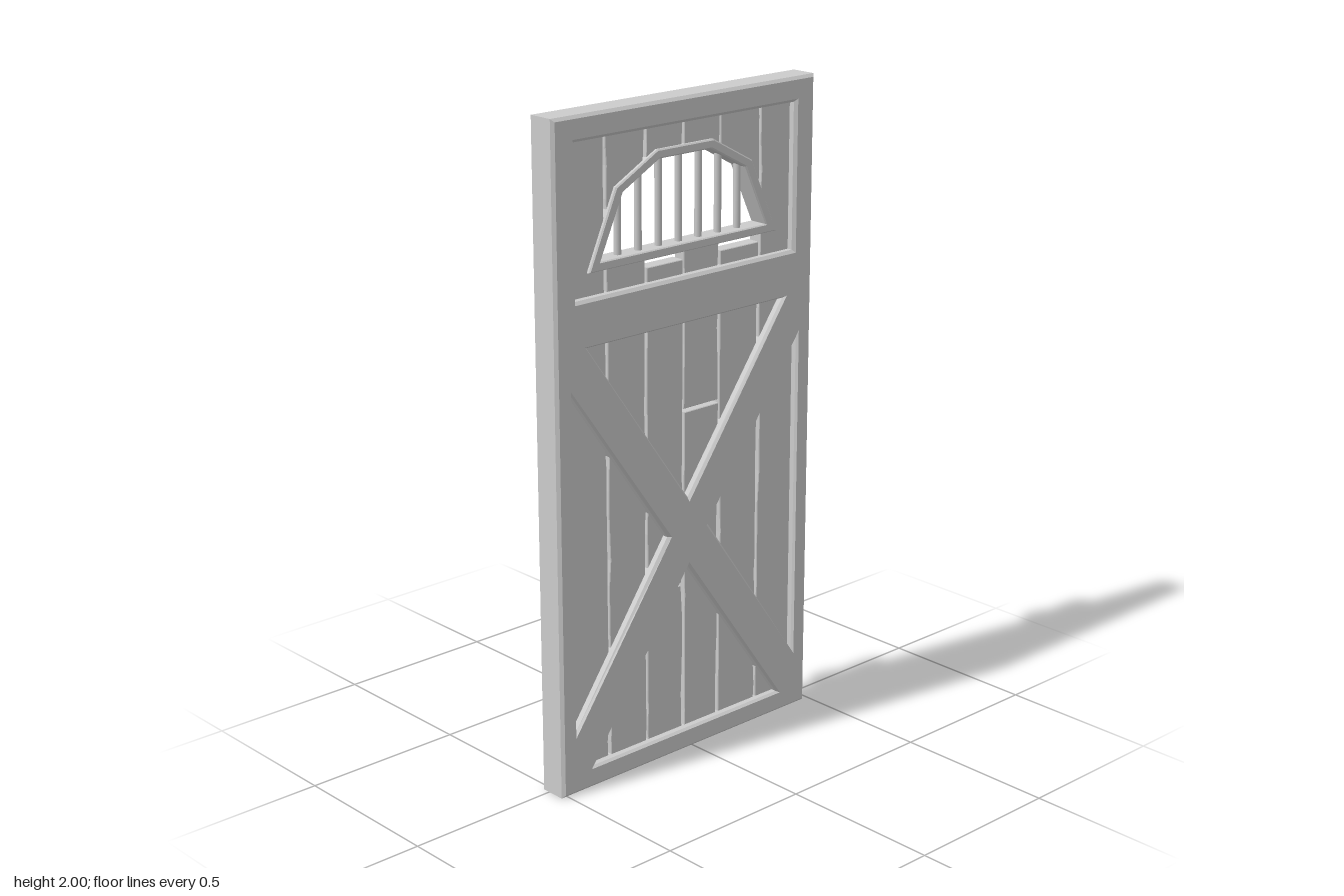
import * as THREE from 'three';

const mat = new THREE.MeshStandardMaterial({ color: 0xcccccc, flatShading: true });
const smooth = new THREE.MeshStandardMaterial({ color: 0xcccccc });

let seed = 7;
const rand = () => (seed = (seed * 16807) % 2147483647) / 2147483647;
const lerp = (a, b, t) => a + (b - a) * t;
const vecs = (pts) => pts.map(([x, y]) => new THREE.Vector2(x, y));

// Extrudes a panel outline, centred on the middle of the door's thickness
function slab(name, outline, holes, thickness, bevel) {
  const shape = new THREE.Shape(vecs(outline));
  holes.forEach((h) => shape.holes.push(new THREE.Path(vecs(h))));
  const geo = new THREE.ExtrudeGeometry(shape, {
    depth: thickness - 2 * bevel, bevelEnabled: bevel > 0,
    bevelThickness: bevel, bevelSize: bevel, bevelSegments: 1,
  });
  geo.translate(0, 0, bevel - thickness / 2);
  const mesh = new THREE.Mesh(geo, mat);
  mesh.name = name;
  return mesh;
}

const mirrorX = (pts) => pts.map(([x, y]) => [-x, y]).reverse();
const arched = (right) => [...right, ...mirrorX(right)];

// Centre line of the window surround
const archY = (u) => {
  const a = Math.abs(u);
  if (a < 0.104) return 1.848;
  if (a < 0.25) return lerp(1.848, 1.768, (a - 0.104) / 0.146);
  return lerp(1.768, 1.56, (a - 0.25) / 0.09);
};
const windowHalf = (y) => (y < 1.56 || y > 1.72 ? 0 : lerp(0.34, 0.25, (y - 1.56) / 0.208));

// One worn board with ragged long edges; bottom and top are heights along its width
function board(a, b, bottom, top) {
  const edge = (u, dir) => {
    const y0 = bottom(u), y1 = top(u), ys = [y0, y1];
    for (let y = y0 + 0.08; y < y1 - 0.04; y += 0.05 + rand() * 0.1) ys.push(y);
    for (const y of [1.559, 1.561, 1.66]) if (y > y0 && y < y1 && Math.abs(u) > 0.28) ys.push(y);
    ys.sort((p, q) => p - q);
    return ys.map((y) => {
      let x = u + dir * (0.004 + 0.008 * rand() * rand());
      // Outer boards are notched around the window corners
      if (y0 < 1 && y1 > 1.9 && Math.abs(u) < 0.35) x = Math.sign(u) * Math.max(Math.abs(x), windowHalf(y));
      return [x, y];
    });
  };
  const kinks = [-0.25, -0.104, 0.104, 0.25].filter((k) => k > a + 0.02 && k < b - 0.02);
  return slab('plank', [
    ...edge(a, 1).reverse(),
    ...kinks.map((k) => [k, bottom(k)]),
    ...edge(b, -1),
    ...kinks.map((k) => [k, top(k)]).reverse(),
  ], [], 0.04 + 0.006 * rand(), 0.002);
}

function createHinge(y) {
  const hinge = new THREE.Group();
  hinge.name = 'hinge';
  const c = 0.006;
  const barrel = (name, r, y0, y1) => {
    const profile = vecs([[0, y0], [r - c, y0], [r, y0 + c], [r, y1 - c], [r - c, y1], [0, y1]]);
    // Doubled corners keep the chamfers crisp
    for (let i = 0; i + 1 < profile.length; i++) {
      const m = new THREE.Mesh(new THREE.LatheGeometry([profile[i], profile[i + 1]], 24), smooth);
      m.name = name;
      hinge.add(m);
    }
  };
  barrel('upperKnuckle', 0.036, 0.062, 0.143);
  barrel('middleKnuckle', 0.027, -0.055, 0.055);
  barrel('lowerKnuckle', 0.036, -0.143, -0.062);
  barrel('hingePin', 0.02, -0.1, 0.1);
  // Leaf and bolt on the door's face
  const leaf = new THREE.Mesh(new THREE.BoxGeometry(0.014, 0.1, 0.075), mat);
  leaf.name = 'hingeLeaf';
  leaf.position.set(-0.004, 0, 0.036);
  const bolt = new THREE.Mesh(new THREE.CylinderGeometry(0.013, 0.015, 0.018, 8), mat);
  bolt.name = 'hingeBolt';
  bolt.rotation.z = Math.PI / 2;
  bolt.position.set(-0.019, 0, 0.052);
  hinge.add(leaf, bolt);
  hinge.position.set(-0.033, y, -0.483);
  return hinge;
}

export function createModel() {
  const model = new THREE.Group();
  model.name = 'door';
  const panel = new THREE.Group();
  panel.name = 'doorPanel';
  panel.rotation.y = -Math.PI / 2;
  panel.position.set(0.0165, 0, 0.02);
  model.add(panel);

  // Frame with cross brace, chamfered on both faces
  const side = [[0.448, 0.177], [0.448, 1.232], [0.07, 0.705]];
  panel.add(slab('frame',
    [[-0.491, 0.009], [0.491, 0.009], [0.491, 1.991], [-0.491, 1.991]],
    [
      [[-0.43, 1.475], [0.43, 1.475], [0.43, 1.935], [-0.43, 1.935]],
      [[-0.395, 1.35], [0, 0.797], [0.395, 1.35]],
      [[-0.39, 0.06], [0.39, 0.06], [0, 0.606]],
      side, mirrorX(side),
    ], 0.097, 0.009));

  // Planks: breaks are the heights where a board is cracked across
  const lines = [-0.455, -0.303, -0.143, 0, 0.146, 0.294, 0.455];
  const breaks = [[], [], [1.07], [0.53], [], []];
  const sills = [0, 1.53, 1.56, 1.53, 1.56, 0];
  for (let i = 0; i < 6; i++) {
    const a = lines[i], b = lines[i + 1];
    const outer = i === 0 || i === 5;
    let start = 0.03;
    for (const y of [...breaks[i], outer ? 1.97 : sills[i]]) {
      const y0 = start, tilt = y > 1.5 ? 0 : 0.06 * (rand() - 0.5);
      panel.add(board(a, b, () => y0, (u) => y - 0.006 + tilt * (u - a)));
      start = y + 0.008;
    }
    if (!outer) panel.add(board(a, b, archY, () => 1.97));
  }

  // Window surround
  panel.add(slab('windowSurround',
    arched([[0.358, 1.554], [0.259, 1.774], [0.107, 1.856]]),
    [arched([[0.325, 1.574], [0.238, 1.763], [0.1, 1.837]])], 0.066, 0.004));

  // Window bars
  for (let i = -3; i <= 3; i++) {
    const u = i * 0.077, top = archY(u);
    const bar = new THREE.Mesh(new THREE.CylinderGeometry(0.011, 0.011, top - 1.56, 10), smooth);
    bar.name = 'windowBar';
    bar.position.set(u, (top + 1.56) / 2, 0);
    panel.add(bar);
  }

  // Hinges
  for (const y of [1.403, 0.318]) model.add(createHinge(y));
  return model;
}
